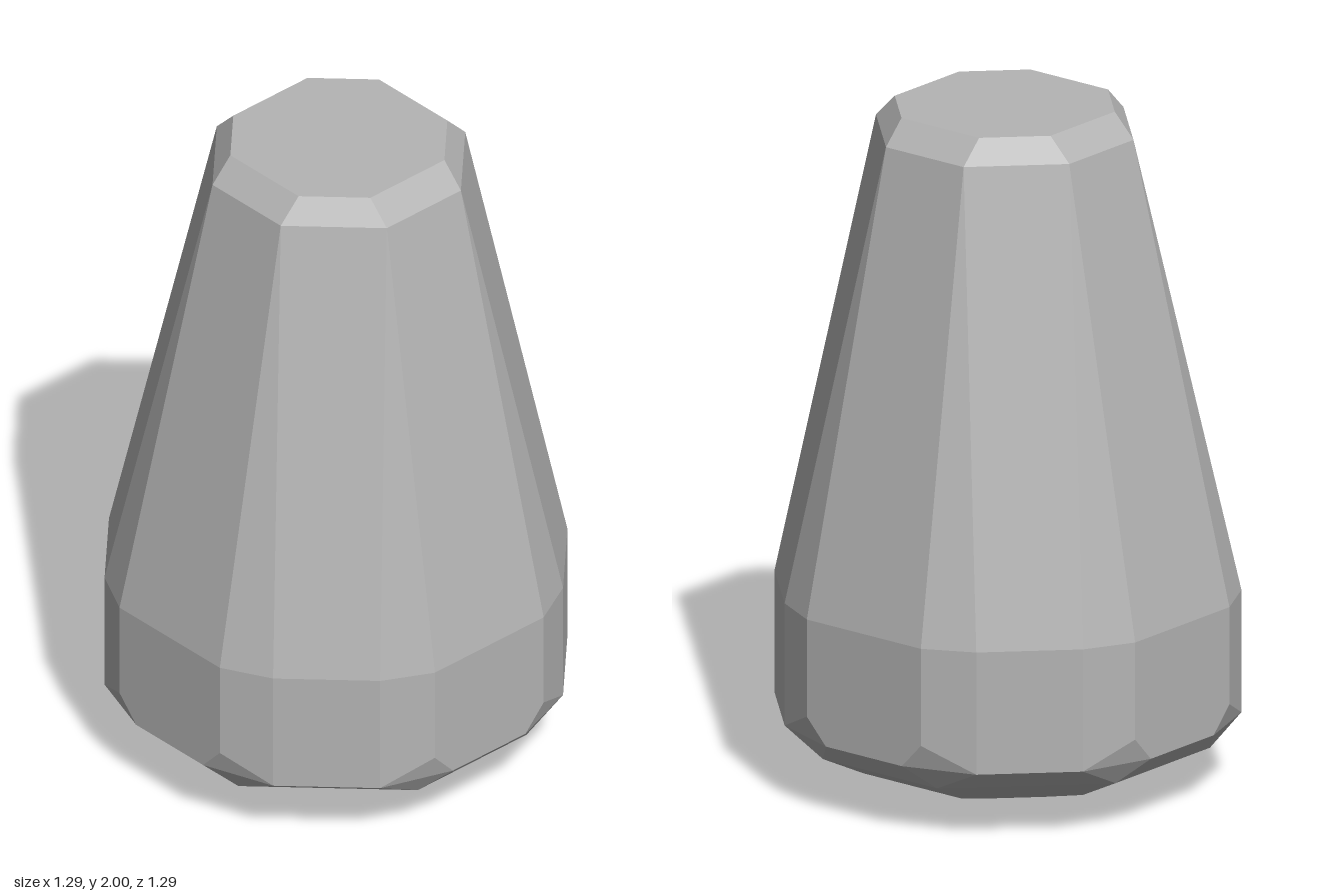
import * as THREE from 'three';
import { ConvexGeometry } from 'three/addons/geometries/ConvexGeometry.js';

// Repeats one (x, z) corner in all eight mirrored positions of an octagonal plan
function corners(x, y, z, shiftZ = 0) {
  const points = [];
  for (const sx of [-1, 1]) {
    for (const sz of [-1, 1]) {
      points.push(new THREE.Vector3(sx * x, y, sz * z + shiftZ));
      points.push(new THREE.Vector3(sx * z, y, sz * x + shiftZ));
    }
  }
  return points;
}

export function createModel() {
  const group = new THREE.Group();
  group.name = 'facetedPeg';
  const grey = new THREE.MeshStandardMaterial({ color: 0xb4b4b4 });
  grey.name = 'stone grey';

  const points = [
    // flat top and its bevel, set slightly towards the front
    ...corners(0.143, 2.0, 0.287, 0.012),
    ...corners(0.143, 1.93, 0.356, 0.012),
    // shoulder where the taper meets the upright band
    ...corners(0.21, 0.58, 0.642),
    ...corners(0.353, 0.58, 0.568),
    // lower edge of the band, with its corners cut to diamonds
    ...corners(0.21, 0.29, 0.642),
    ...corners(0.14, 0.215, 0.642),
    ...corners(0.353, 0.215, 0.568),
    // lower bevel and shallow rounded base
    ...corners(0.21, 0.145, 0.57),
    ...corners(0.18, 0.072, 0.425),
    ...corners(0.095, 0, 0.21),
  ];

  // The body is one solid convex shape with flat facets
  const body = new THREE.Mesh(new ConvexGeometry(points), grey);
  body.name = 'body';
  body.rotation.y = -0.02;
  group.add(body);
  return group;
}
